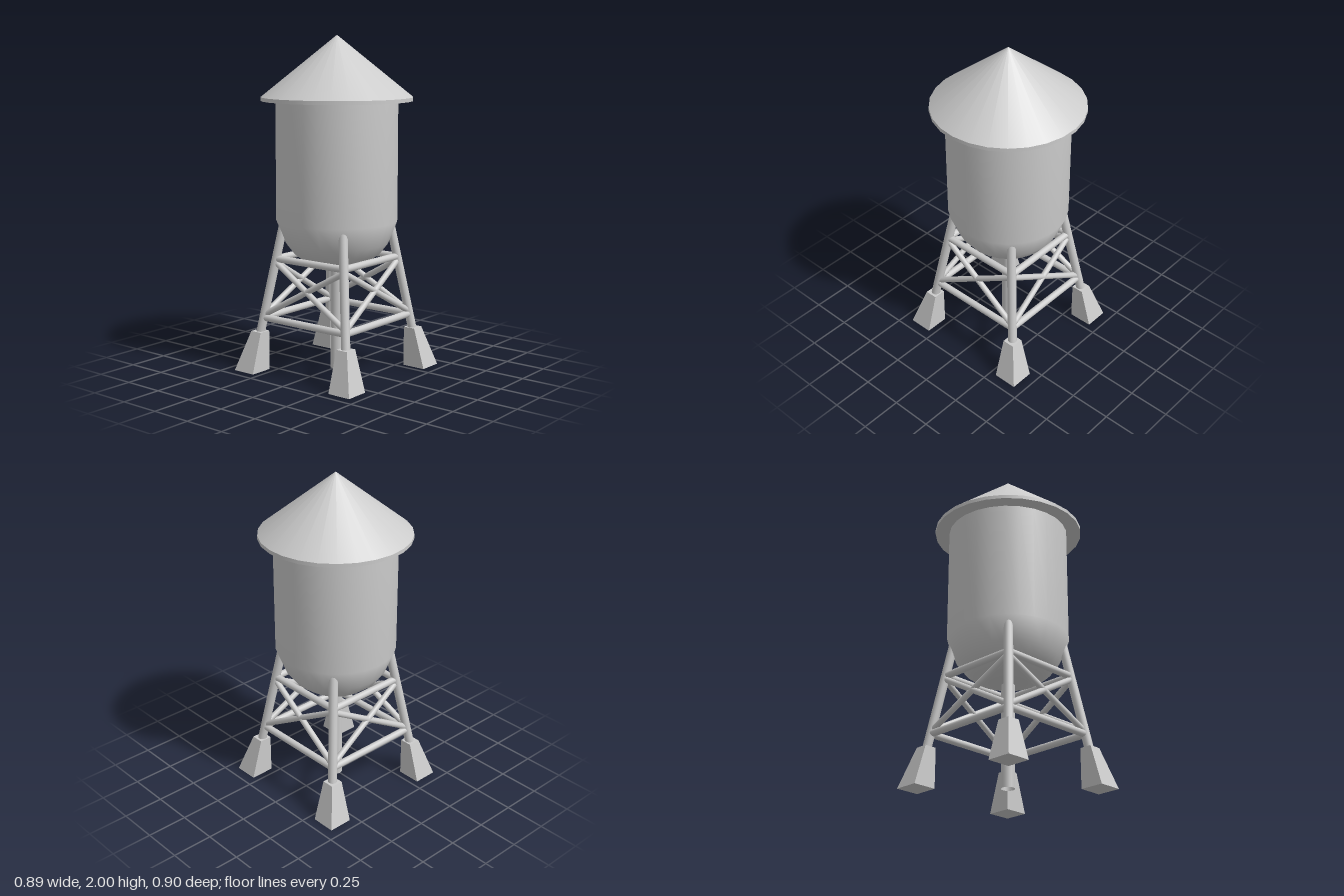
import * as THREE from 'three';

const SIDES = 26;
const grey = new THREE.MeshStandardMaterial({ color: 0xcccccc });
const greyOpen = new THREE.MeshStandardMaterial({ color: 0xcccccc, side: THREE.DoubleSide });

function add(parent, name, geometry, material = grey) {
  const mesh = new THREE.Mesh(geometry, material);
  mesh.name = name;
  parent.add(mesh);
  return mesh;
}

// Round bar running between two points
function bar(parent, name, a, b, radius) {
  const dir = b.clone().sub(a);
  const mesh = add(parent, name, new THREE.CylinderGeometry(radius, radius, dir.length(), 14));
  mesh.position.copy(a).add(b).multiplyScalar(0.5);
  mesh.quaternion.setFromUnitVectors(new THREE.Vector3(0, 1, 0), dir.normalize());
}

// Point on the leaning leg in corner (sx, sz) at height y
function legPoint(sx, sz, y) {
  const d = 0.325 - (y - 0.24) * 0.153;
  return new THREE.Vector3(sx * d, y, sz * d);
}

// Footing block: upright inner faces, sloping outer faces
function footingGeometry(sx, sz) {
  const inner = 0.29, baseOuter = 0.438, topOuter = 0.366, height = 0.24;
  const geometry = new THREE.BoxGeometry(1, 1, 1);
  const p = geometry.attributes.position;
  for (let i = 0; i < p.count; i++) {
    const top = p.getY(i) > 0;
    const outer = top ? topOuter : baseOuter;
    p.setXYZ(i,
      sx * (p.getX(i) * sx > 0 ? outer : inner),
      top ? height : 0,
      sz * (p.getZ(i) * sz > 0 ? outer : inner));
  }
  geometry.computeVertexNormals();
  return geometry;
}

export function createModel() {
  const model = new THREE.Group();
  model.name = 'waterTower';

  // Tank: rounded bowl below, straight wall above
  const bowl = [[0, 0.617], [0.1, 0.628], [0.2, 0.665], [0.26, 0.712], [0.308, 0.775], [0.362, 0.91]];
  const profile = bowl.map(([r, y]) => new THREE.Vector2(r, y));
  profile.push(new THREE.Vector2(0.362, 1.63));
  add(model, 'tank', new THREE.LatheGeometry(profile, SIDES));

  // Conical roof with a thin rim
  const roof = new THREE.Group();
  roof.name = 'roof';
  model.add(roof);
  add(roof, 'roofCone', new THREE.ConeGeometry(0.448, 0.36, SIDES, 1, true)).position.y = 1.82;
  add(roof, 'roofRim', new THREE.CylinderGeometry(0.448, 0.448, 0.022, SIDES)).position.y = 1.629;

  // Central riser pipe
  add(model, 'riserPipe', new THREE.CylinderGeometry(0.04, 0.04, 0.66, 20, 1, true), greyOpen).position.y = 0.33;

  // Legs on footings, and the braced frame between neighbouring legs
  const corners = [[1, 1], [1, -1], [-1, -1], [-1, 1]];
  corners.forEach(([sx, sz], i) => {
    const [nx, nz] = corners[(i + 1) % 4];
    add(model, 'footing', footingGeometry(sx, sz));
    bar(model, 'leg', legPoint(sx, sz, 0.22), legPoint(sx, sz, 0.93), 0.027);
    for (const y of [0.323, 0.68]) {
      bar(model, 'crossBeam', legPoint(sx, sz, y), legPoint(nx, nz, y), 0.021);
    }
    bar(model, 'diagonalBrace', legPoint(sx, sz, 0.34), legPoint(nx, nz, 0.66), 0.018);
    bar(model, 'diagonalBrace', legPoint(nx, nz, 0.34), legPoint(sx, sz, 0.66), 0.018);
  });

  return model;
}
